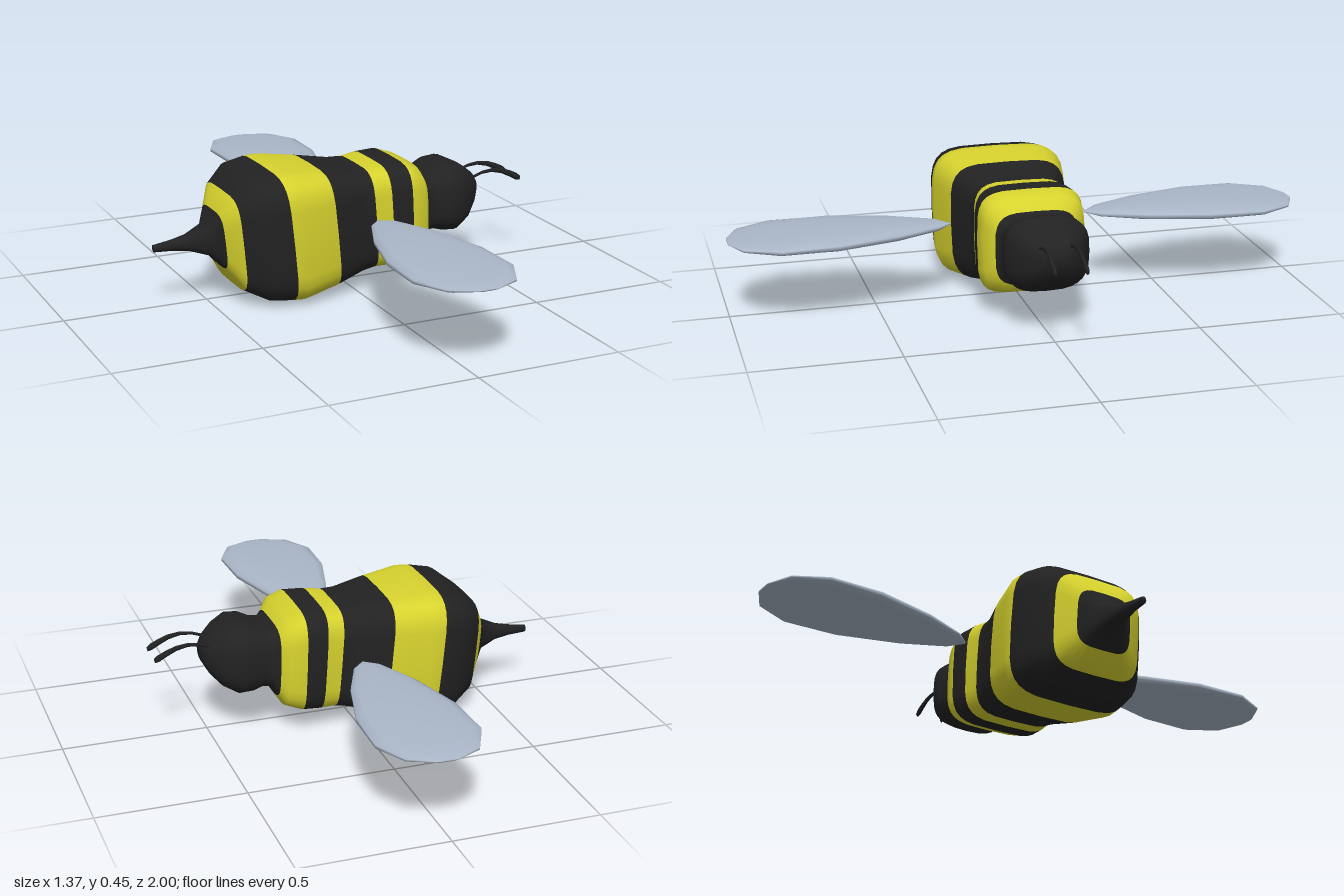
import * as THREE from 'three';

const black = new THREE.MeshStandardMaterial({ color: 0x222222 });
black.name = 'black';
const yellow = new THREE.MeshStandardMaterial({ color: 0xd6d22e });
yellow.name = 'yellow';
const wingGrey = new THREE.MeshStandardMaterial({ color: 0xaab7c8 });
wingGrey.name = 'wing grey';

// Skins rings along x. Ring: [topX, topY, bottomX, bottomY, halfWidth, squareness, colour index of the next span]
function loft(rings, seg) {
  const pos = [], index = [], geo = new THREE.BufferGeometry();
  const bend = (v, n) => Math.sign(v) * Math.abs(v) ** (2 / n);
  for (const [xt, yt, xb, yb, w, n] of rings) {
    for (let j = 0; j < seg; j++) {
      const a = (j / seg) * Math.PI * 2;
      const s = bend(Math.cos(a), n);
      pos.push((xt + xb) / 2 + s * (xt - xb) / 2, (yt + yb) / 2 + s * (yt - yb) / 2, w * bend(Math.sin(a), n));
    }
  }
  const last = rings.length - 1, first = rings.length * seg;
  for (const r of [rings[0], rings[last]]) pos.push((r[0] + r[2]) / 2, (r[1] + r[3]) / 2, 0);
  const addGroup = (start, colour) => geo.addGroup(start, index.length - start, colour ?? 0);

  // Rear cap, spans, front cap
  for (let j = 0; j < seg; j++) index.push(first, (j + 1) % seg, j);
  addGroup(0, rings[0][6]);
  for (let i = 0; i < last; i++) {
    const start = index.length;
    for (let j = 0; j < seg; j++) {
      const k = (j + 1) % seg, a = i * seg + j, b = i * seg + k;
      index.push(a, b, a + seg, b, b + seg, a + seg);
    }
    addGroup(start, rings[i][6]);
  }
  const start = index.length;
  for (let j = 0; j < seg; j++) index.push(first + 1, last * seg + j, last * seg + (j + 1) % seg);
  addGroup(start, rings[last][6]);

  geo.setAttribute('position', new THREE.Float32BufferAttribute(pos, 3));
  geo.setIndex(index);
  geo.computeVertexNormals();
  return geo;
}

// Stinger, striped abdomen and thorax, then the neck and head
const tailAndBody = [
  [-0.685, 0.220, -0.683, 0.195, 0.011, 2, 0],
  [-0.62, 0.230, -0.62, 0.192, 0.018, 2, 0],
  [-0.57, 0.241, -0.56, 0.184, 0.028, 2.2, 0],
  [-0.505, 0.268, -0.495, 0.163, 0.055, 3, 0],
  [-0.475, 0.32, -0.455, 0.122, 0.105, 4, 1],
  [-0.44, 0.385, -0.408, 0.05, 0.168, 4.5, 0],
  [-0.37, 0.438, -0.33, 0.012, 0.224, 4.5, 0],
  [-0.295, 0.452, -0.25, 0.004, 0.238, 4.5, 1],
  [-0.25, 0.455, -0.21, 0.002, 0.24, 4.5, 1],
  [-0.12, 0.44, -0.08, 0.027, 0.208, 4.5, 0],
  [0.0, 0.423, 0.03, 0.055, 0.17, 4.5, 0],
  [0.05, 0.422, 0.077, 0.063, 0.165, 4.5, 1],
  [0.11, 0.43, 0.132, 0.066, 0.176, 4.5, 0],
  [0.186, 0.432, 0.2, 0.074, 0.185, 4.5, 1],
  [0.238, 0.416, 0.258, 0.096, 0.174, 4.2, 1],
  [0.268, 0.378, 0.276, 0.125, 0.142, 4, 0],
];
const head = [
  [0.285, 0.367, 0.296, 0.158, 0.126, 3.6, 0],
  [0.32, 0.372, 0.325, 0.159, 0.128, 3.2, 0],
  [0.36, 0.392, 0.36, 0.149, 0.143, 3, 0],
  [0.405, 0.397, 0.405, 0.146, 0.142, 3, 0],
  [0.455, 0.373, 0.455, 0.175, 0.113, 3, 0],
  [0.497, 0.341, 0.49, 0.214, 0.075, 2.8, 0],
  [0.515, 0.315, 0.513, 0.255, 0.045, 2.5, 0],
];

// Wing stations: [distance out, half chord, half thickness]
const wingRings = [
  [0.24, 0.004, 0.002], [0.29, 0.05, 0.013], [0.44, 0.115, 0.022], [0.65, 0.171, 0.026],
  [0.84, 0.178, 0.02], [0.955, 0.122, 0.011], [0.998, 0.035, 0.003],
].map(([x, w, t]) => [x, t, x, -t, w, 2.5, 0]);

// Antenna stations: [x, y, radius]
const antennaRings = [
  [0.49, 0.325, 0.006], [0.53, 0.339, 0.006], [0.57, 0.343, 0.007], [0.61, 0.336, 0.009],
  [0.645, 0.321, 0.011], [0.67, 0.308, 0.012], [0.684, 0.301, 0.008],
].map(([x, y, r]) => [x + r * 0.2, y + r, x - r * 0.2, y - r, r * 0.65, 2, 0]);

export function createModel() {
  const bee = new THREE.Group();
  bee.name = 'bee';
  const add = (name, geo, material) => {
    const mesh = new THREE.Mesh(geo, material);
    mesh.name = name;
    bee.add(mesh);
    return mesh;
  };

  add('body', loft([...tailAndBody, ...head], 28), [black, yellow]);

  // Mirrored pairs on both flanks
  const wingGeo = loft(wingRings, 14);
  const antennaGeo = loft(antennaRings, 10);
  for (const side of [1, -1]) {
    const label = side > 0 ? 'front' : 'back';
    const wing = add(label + 'Wing', wingGeo, wingGrey);
    wing.rotation.y = -side * Math.PI / 2;
    wing.position.set(0.024 + side * 0.006, 0.279, 0);
    add(label + 'Antenna', antennaGeo, black).position.z = side * 0.052;
  }
  return bee;
}
